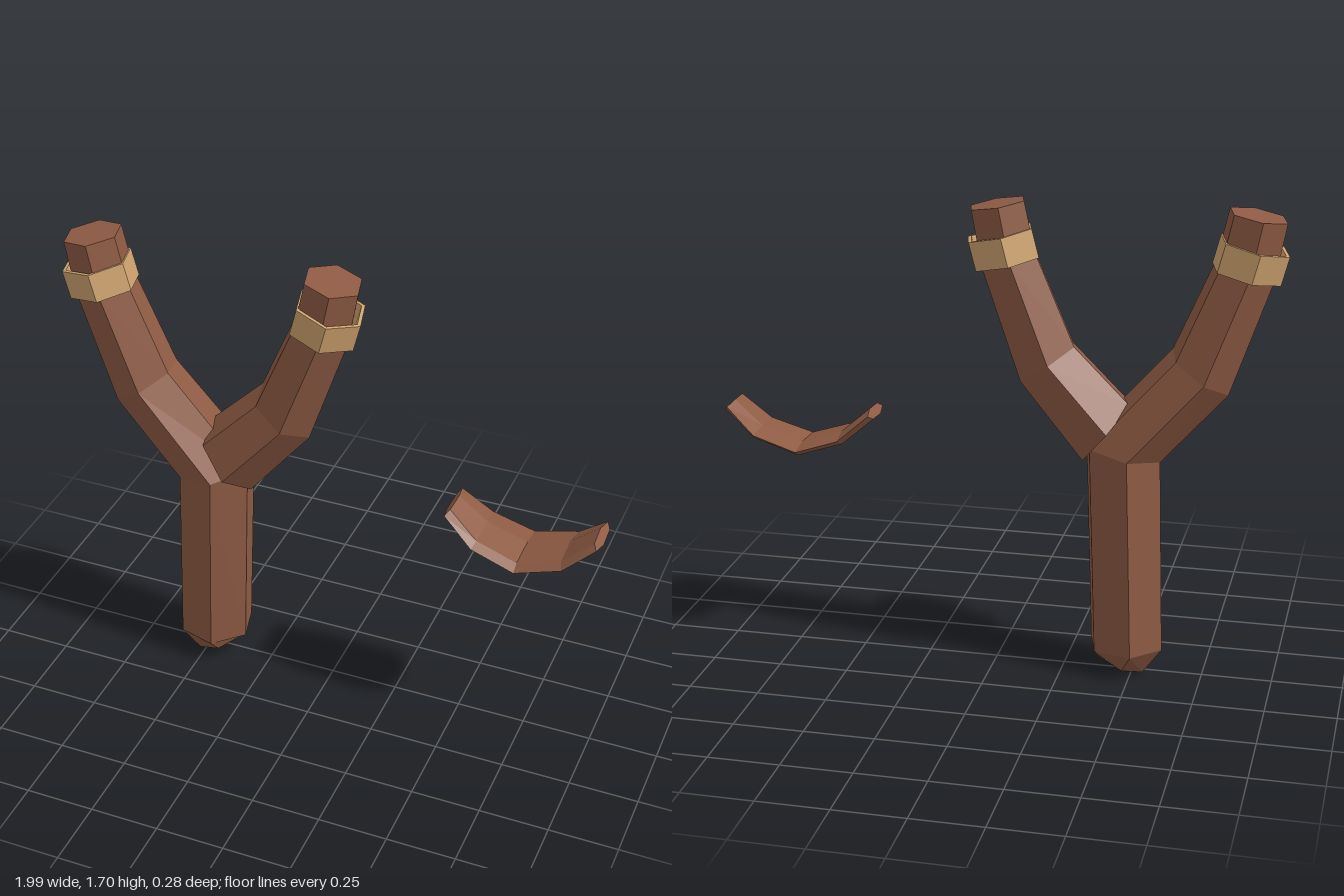
import * as THREE from 'three';

const SIDES = 6;
const TURN = THREE.MathUtils.degToRad(15.5);

// One hexagonal section: centre x, y, tilt in degrees, half-width in the xy plane, half-depth in z
function section([x, y, tilt, r, rz = r]) {
  const a = THREE.MathUtils.degToRad(tilt);
  return Array.from({ length: SIDES }, (_, j) => {
    const t = TURN + (j / SIDES) * Math.PI * 2;
    const u = Math.cos(t) * r;
    return [x + u * Math.cos(a), y + u * Math.sin(a), Math.sin(t) * rz];
  });
}

// Faceted skin through a list of sections, closed with end caps if asked
function loft(sections, capped = true) {
  const rings = sections.map(section);
  const pos = [];
  const tri = (...pts) => pts.forEach((p) => pos.push(...p));
  for (let i = 0; i < rings.length - 1; i++) {
    for (let j = 0; j < SIDES; j++) {
      const k = (j + 1) % SIDES;
      const a = rings[i][j], b = rings[i][k], c = rings[i + 1][k], d = rings[i + 1][j];
      tri(a, d, c);
      tri(a, c, b);
    }
  }
  if (capped) {
    const first = rings[0], last = rings[rings.length - 1];
    for (let j = 1; j < SIDES - 1; j++) {
      tri(first[0], first[j], first[j + 1]);
      tri(last[0], last[j + 1], last[j]);
    }
  }
  const geo = new THREE.BufferGeometry();
  geo.setAttribute('position', new THREE.Float32BufferAttribute(pos, 3));
  geo.computeVertexNormals();
  return geo;
}

export function createModel() {
  const group = new THREE.Group();
  const wood = new THREE.MeshStandardMaterial({ color: 0x8f5b44 });
  wood.name = 'brownWood';
  const cord = new THREE.MeshStandardMaterial({ color: 0xd0a470 });
  cord.name = 'tanBinding';

  const add = (name, geo, mat) => {
    const mesh = new THREE.Mesh(geo, mat);
    mesh.name = name;
    group.add(mesh);
  };

  // Fork arm sections from the knee to the tip, mirrored for the other arm
  const AXIS = -0.445;
  const mirror = ([x, y, tilt, ...r]) => [2 * AXIS - x, y, -tilt, ...r];
  const arm = [
    [-0.713, 1.137, 34, 0.127],
    [-0.852, 1.5, 14, 0.109],
    [-0.89, 1.688, 10, 0.105],
  ];

  // Handle bending into the right arm
  add('handleAndRightArm', loft([
    [-0.452, 0.047, 24, 0.1],
    [-0.475, 0.105, 0, 0.139],
    [-0.45, 0.84, 11.5, 0.145],
    ...arm,
  ]), wood);

  // Left arm, set into the fork
  add('leftArm', loft([[-0.39, 0.9, -51, 0.145], ...arm.map(mirror)]), wood);

  // Hollow bindings round both tips
  const low = [-0.856, 1.486, 12.5], high = [-0.882, 1.586, 12.5];
  const band = [
    [...low, 0.113], [...low, 0.127], [...high, 0.127], [...high, 0.113], [...low, 0.113],
  ];
  add('rightBinding', loft(band, false), cord);
  add('leftBinding', loft(band.map(mirror), false), cord);

  // Curved pouch, a flattened hexagonal strip
  add('pouch', loft([
    [0.447, 0.914, -132, 0.021, 0.088],
    [0.555, 0.822, -120, 0.021, 0.118],
    [0.711, 0.772, -90, 0.021, 0.127],
    [0.872, 0.822, -60, 0.021, 0.118],
    [0.978, 0.914, -48, 0.021, 0.088],
  ]), wood);

  return group;
}
